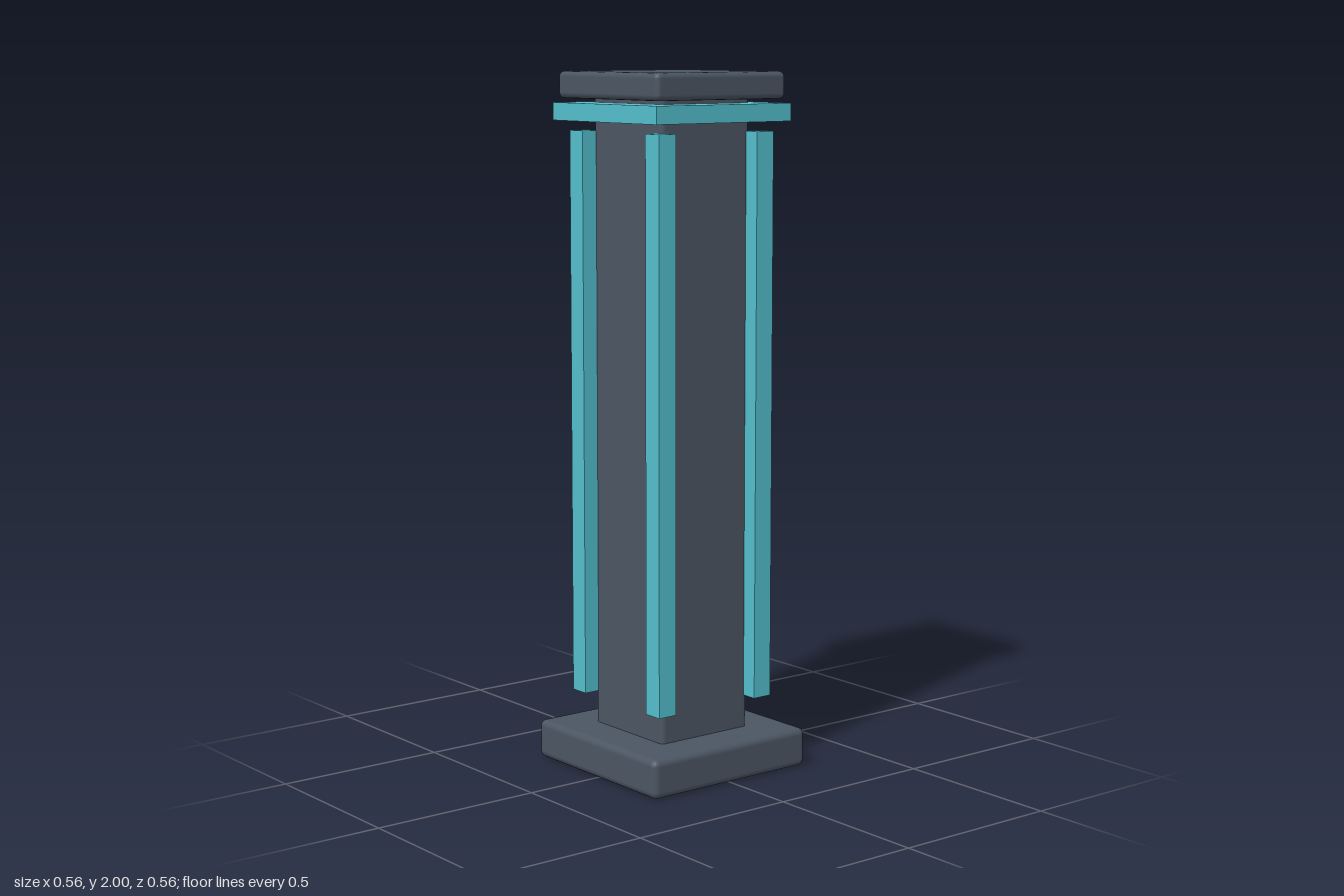
import * as THREE from 'three';
import { RoundedBoxGeometry } from 'three/addons/geometries/RoundedBoxGeometry.js';

export function createModel() {
  const group = new THREE.Group();
  const slate = new THREE.MeshStandardMaterial({ color: 0x4b5563 });
  slate.name = 'slate';
  const teal = new THREE.MeshStandardMaterial({ color: 0x53bfcd });
  teal.name = 'teal';

  // Square block spanning y0..y1, softened when a radius is given
  function block(name, material, width, y0, y1, radius = 0, x = 0, z = 0) {
    const h = y1 - y0;
    const geometry = radius
      ? new RoundedBoxGeometry(width, h, width, 2, radius)
      : new THREE.BoxGeometry(width, h, width);
    const mesh = new THREE.Mesh(geometry, material);
    mesh.name = name;
    mesh.position.set(x, (y0 + y1) / 2, z);
    group.add(mesh);
  }

  // Plinth, shaft and cap
  block('base', slate, 0.556, 0, 0.113, 0.02);
  block('shaft', slate, 0.313, 0.1, 1.94, 0.014);
  block('cap', slate, 0.458, 1.924, 2, 0.016);

  // Glowing collar below the cap
  block('collar', teal, 0.476, 1.862, 1.912);

  // Light strips on the four corners
  for (const [side, x] of [['Left', 1], ['Right', -1]]) {
    for (const [end, z] of [['front', 1], ['back', -1]]) {
      block(`${end}${side}Strip`, teal, 0.06, 0.207, 1.834, 0, x * 0.174, z * 0.174);
    }
  }
  return group;
}
